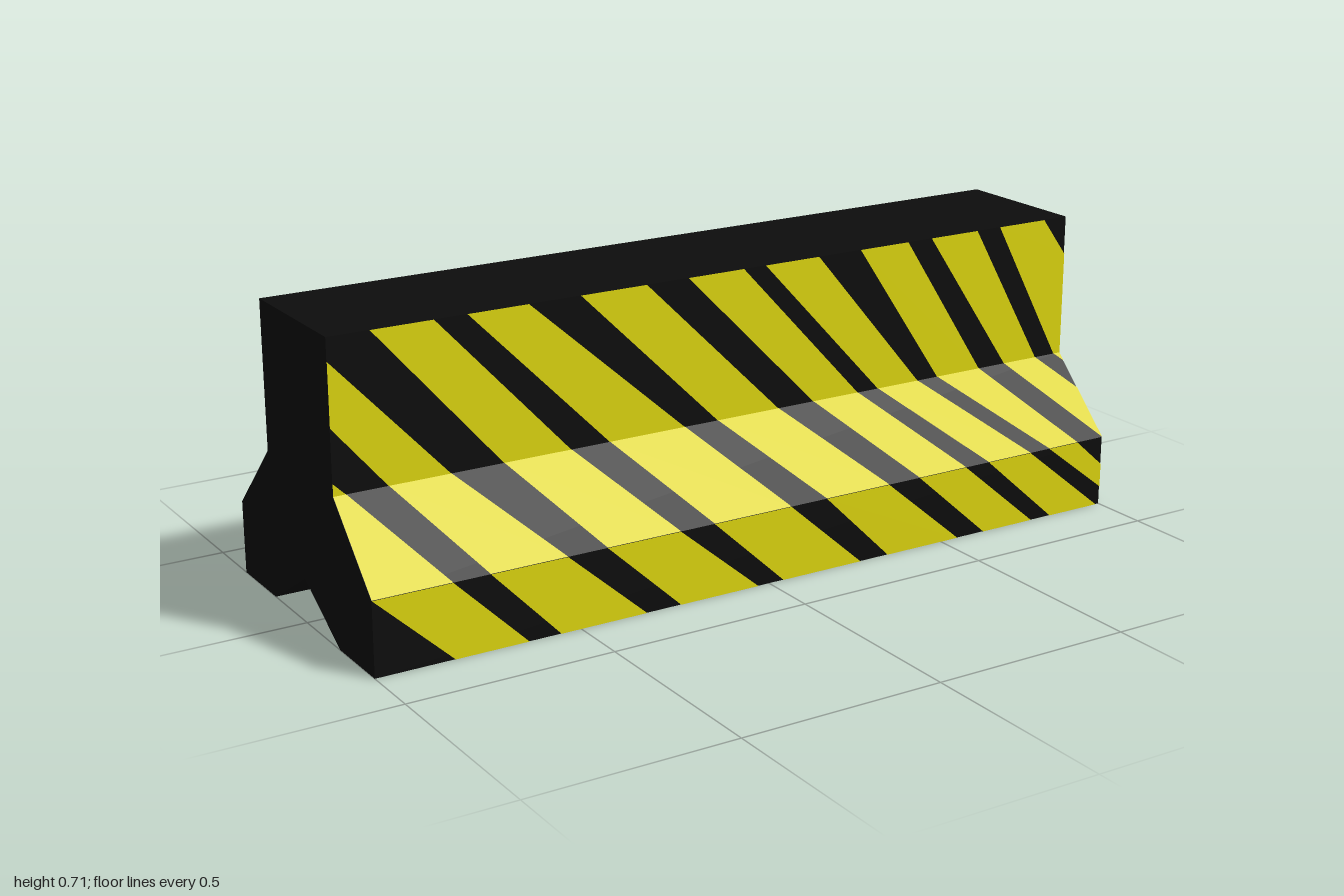
import * as THREE from 'three';

const black = new THREE.MeshStandardMaterial({ color: 0x0d0d0d });
black.name = 'black';
const yellow = new THREE.MeshStandardMaterial({ color: 0xdcd40f });
yellow.name = 'yellow';

// Side outline at four heights, top to foot: [y, z]
const levels = [[0.707, 0.177], [0.353, 0.177], [0.177, 0.353], [0, 0.353]];
// Outward direction of the three panels on a side: [y, z]
const normals = [[0, 1], [Math.SQRT1_2, Math.SQRT1_2], [0, 1]];
const panelNames = ['upper', 'sloped', 'lower'];

// Yellow stripes on the front: left and right edge x at each of the four heights
const frontStripes = [
  [[-1.54, -1.18, -1, -0.81], [-1.33, -0.97, -0.81, -0.63]],
  [[-1.17, -0.87, -0.72, -0.55], [-1.05, -0.72, -0.53, -0.33]],
  [[-0.9, -0.59, -0.43, -0.24], [-0.75, -0.42, -0.24, -0.03]],
  [[-0.67, -0.32, -0.15, 0.04], [-0.52, -0.12, 0.06, 0.26]],
  [[-0.39, -0.03, 0.16, 0.34], [-0.22, 0.14, 0.34, 0.55]],
  [[-0.11, 0.24, 0.43, 0.63], [0.04, 0.37, 0.57, 0.78]],
  [[0.1, 0.43, 0.64, 0.84], [0.25, 0.55, 0.77, 0.99]],
  [[0.37, 0.61, 0.83, 1.06], [0.51, 0.74, 0.92, 1.12]],
  [[0.58, 0.82, 1, 1.19], [0.72, 0.92, 1.11, 1.29]],
  [[0.79, 0.98, 1.18, 1.38], [0.93, 1.19, 1.37, 1.56]],
];

// Back stripes are parallel: x extent at the upper ridge, shifted at each height
const backShift = [-0.42, 0, 0.2, 0.41];
const backStripes = [
  [-1.52, -1.31], [-1.21, -1], [-0.88, -0.69], [-0.57, -0.39], [-0.27, -0.075],
  [0.02, 0.21], [0.34, 0.53], [0.64, 0.84], [0.94, 1.15], [1.25, 1.45],
].map(([l, r]) => [backShift.map((s) => l + s), backShift.map((s) => r + s)]);

// Cut a polygon of [x, t] points at x = limit, keeping the inner side
function clip(points, limit) {
  const inside = (p) => p[0] * Math.sign(limit) <= Math.abs(limit);
  const out = [];
  points.forEach((a, i) => {
    const b = points[(i + 1) % points.length];
    if (inside(a)) out.push(a);
    if (inside(a) !== inside(b)) {
      const f = (limit - a[0]) / (b[0] - a[0]);
      out.push([limit, a[1] + f * (b[1] - a[1])]);
    }
  });
  return out;
}

// All stripe faces on one panel; side is +1 for front, -1 for back
function stripePanel(stripes, k, side) {
  const [y0, z0] = levels[k];
  const [y1, z1] = levels[k + 1];
  const [ny, nz] = normals[k];
  const lift = 0.0015;
  const positions = [];
  for (const [left, right] of stripes) {
    let poly = [[left[k], 0], [left[k + 1], 1], [right[k + 1], 1], [right[k], 0]];
    poly = clip(clip(poly, -1), 1);
    if (poly.length < 3) continue;
    if (side < 0) poly.reverse();
    const pts = poly.map(([x, t]) => [
      x, y0 + (y1 - y0) * t + ny * lift, side * (z0 + (z1 - z0) * t + nz * lift),
    ]);
    for (let i = 1; i < pts.length - 1; i++) positions.push(...pts[0], ...pts[i], ...pts[i + 1]);
  }
  const geometry = new THREE.BufferGeometry();
  geometry.setAttribute('position', new THREE.Float32BufferAttribute(positions, 3));
  geometry.computeVertexNormals();
  const mesh = new THREE.Mesh(geometry, yellow);
  mesh.name = `${panelNames[k]}${side > 0 ? 'Front' : 'Back'}Stripes`;
  return mesh;
}

export function createModel() {
  const group = new THREE.Group();
  group.name = 'roadBarrier';

  // Solid body: mirrored outline with a notch underneath, extruded along x
  const half = [...levels, [0, 0.177]];
  const outline = [
    ...half.map(([y, z]) => new THREE.Vector2(z, y)),
    new THREE.Vector2(0, 0.106),
    ...half.reverse().map(([y, z]) => new THREE.Vector2(-z, y)),
  ];
  const geometry = new THREE.ExtrudeGeometry(new THREE.Shape(outline), { depth: 2, bevelEnabled: false });
  geometry.translate(0, 0, -1);
  geometry.rotateY(Math.PI / 2);
  const body = new THREE.Mesh(geometry, black);
  body.name = 'body';
  group.add(body);

  // Warning stripes on the three panels of each side
  for (let k = 0; k < 3; k++) {
    group.add(stripePanel(frontStripes, k, 1), stripePanel(backStripes, k, -1));
  }
  return group;
}
